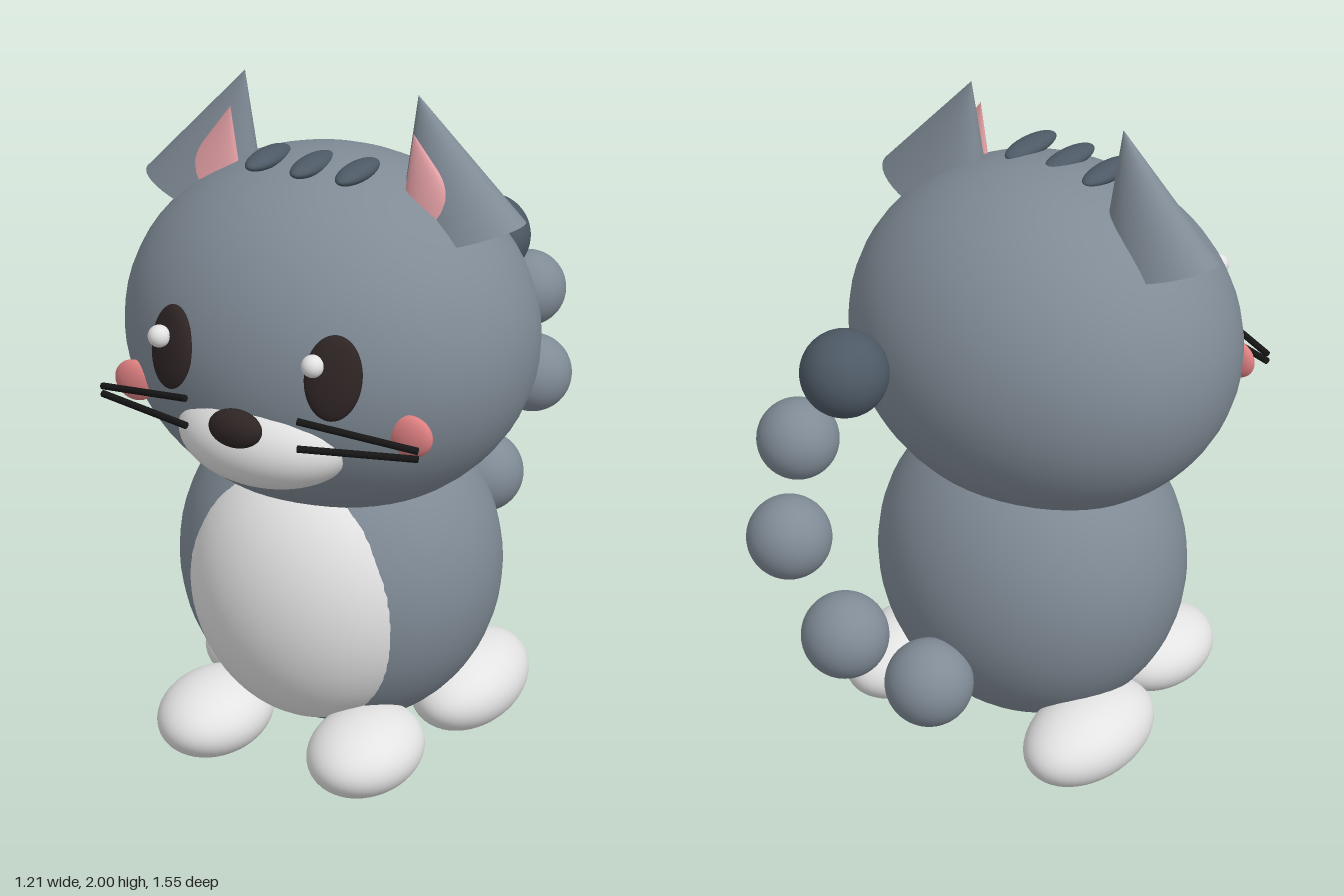
import * as THREE from 'three';

const mat = (name, color) => {
  const m = new THREE.MeshStandardMaterial({ color });
  m.name = name;
  return m;
};

export function createModel() {
  const fur = mat('grey fur', 0x808b96);
  const darkFur = mat('dark grey fur', 0x4d5965);
  const white = mat('white fur', 0xe3e3e3);
  const brown = mat('dark brown', 0x2e2424);
  const black = mat('whisker black', 0x161616);
  const blush = mat('cheek pink', 0xdd7f80);
  const pink = mat('inner ear pink', 0xe8a3a8);

  const model = new THREE.Group();
  model.name = 'kitten';
  const ball = new THREE.SphereGeometry(1, 48, 32);

  const add = (name, geometry, material, pos, scale = [1, 1, 1], rot = [0, 0, 0]) => {
    const mesh = new THREE.Mesh(geometry, material);
    mesh.name = name;
    mesh.position.set(...pos);
    mesh.scale.set(...scale);
    mesh.rotation.set(...rot);
    model.add(mesh);
    return mesh;
  };
  const blob = (name, material, pos, radii, rot) => add(name, ball, material, pos, radii, rot);

  // Thin straight rod between two points
  const rod = (name, material, a, b, radius) => {
    const from = new THREE.Vector3(...a), to = new THREE.Vector3(...b);
    const dir = to.clone().sub(from);
    const mesh = add(name, new THREE.CylinderGeometry(radius, radius, dir.length(), 10), material,
      from.add(to).multiplyScalar(0.5).toArray());
    mesh.quaternion.setFromUnitVectors(new THREE.Vector3(0, 1, 0), dir.normalize());
  };

  // Flattened cone placed by its tip, leaning by an angle about z
  const leaningCone = (name, material, tip, radius, height, depth, lean) => {
    const geometry = new THREE.ConeGeometry(radius, height, 40).translate(0, -height / 2, 0);
    add(name, geometry, material, tip, [1, 1, depth / radius], [0, 0, lean]);
  };

  // Torso, belly and head
  blob('body', fur, [0, 0.55, 0.115], [0.485, 0.51, 0.44]);
  blob('belly', white, [0, 0.54, 0.3], [0.37, 0.42, 0.29]);
  blob('head', fur, [0, 1.29, 0.168], [0.605, 0.52, 0.515]);

  // Muzzle and nose
  blob('muzzle', white, [0, 1.112, 0.555], [0.26, 0.145, 0.175]);
  blob('nose', brown, [0, 1.195, 0.73], [0.078, 0.054, 0.044]);

  // Paired parts
  for (const [side, s] of [['left', 1], ['right', -1]]) {
    blob(`${side}FrontFoot`, white, [s * 0.247, 0.12, 0.443], [0.16, 0.113, 0.208]);
    blob(`${side}BackFoot`, white, [s * 0.35, 0.13, -0.052], [0.16, 0.125, 0.25]);
    blob(`${side}Eye`, brown, [s * 0.245, 1.35, 0.635], [0.078, 0.117, 0.03], [-0.2, s * 0.35, 0]);
    blob(`${side}Cheek`, blush, [s * 0.425, 1.18, 0.537], [0.065, 0.06, 0.027]);

    leaningCone(`${side}Ear`, fur, [s * 0.265, 2, 0.168], 0.197, 0.404, 0.118, -s * -0.325);
    leaningCone(`${side}InnerEar`, pink, [s * 0.28, 1.91, 0.228], 0.11, 0.26, 0.04, s * 0.26);

    rod(`${side}UpperWhisker`, black, [s * 0.485, 1.18, 0.615], [s * 0.17, 1.237, 0.7], 0.01);
    rod(`${side}LowerWhisker`, black, [s * 0.485, 1.157, 0.615], [s * 0.17, 1.157, 0.7], 0.01);
  }

  // Eye highlights sit on the same side of both eyes
  for (const x of [-0.267, 0.2]) blob('eyeHighlight', white, [x, 1.388, 0.665], [0.031, 0.031, 0.031]);

  // Forehead stripes
  for (const x of [-0.137, 0, 0.137]) blob('headStripe', darkFur, [x, 1.798, 0.277], [0.04, 0.025, 0.109]);

  // Curling tail of separate balls, dark at the tip
  [
    [0, 0.34, -0.378, 0.132],
    [0.15, 0.555, -0.572, 0.128],
    [0.275, 0.885, -0.653, 0.122],
    [0.275, 1.185, -0.598, 0.116],
    [0.19, 1.375, -0.49, 0.125],
  ].forEach(([x, y, z, r], i) =>
    blob(i < 4 ? 'tailBall' : 'tailTip', i < 4 ? fur : darkFur, [x, y, z], [r, r, r]));

  return model;
}
